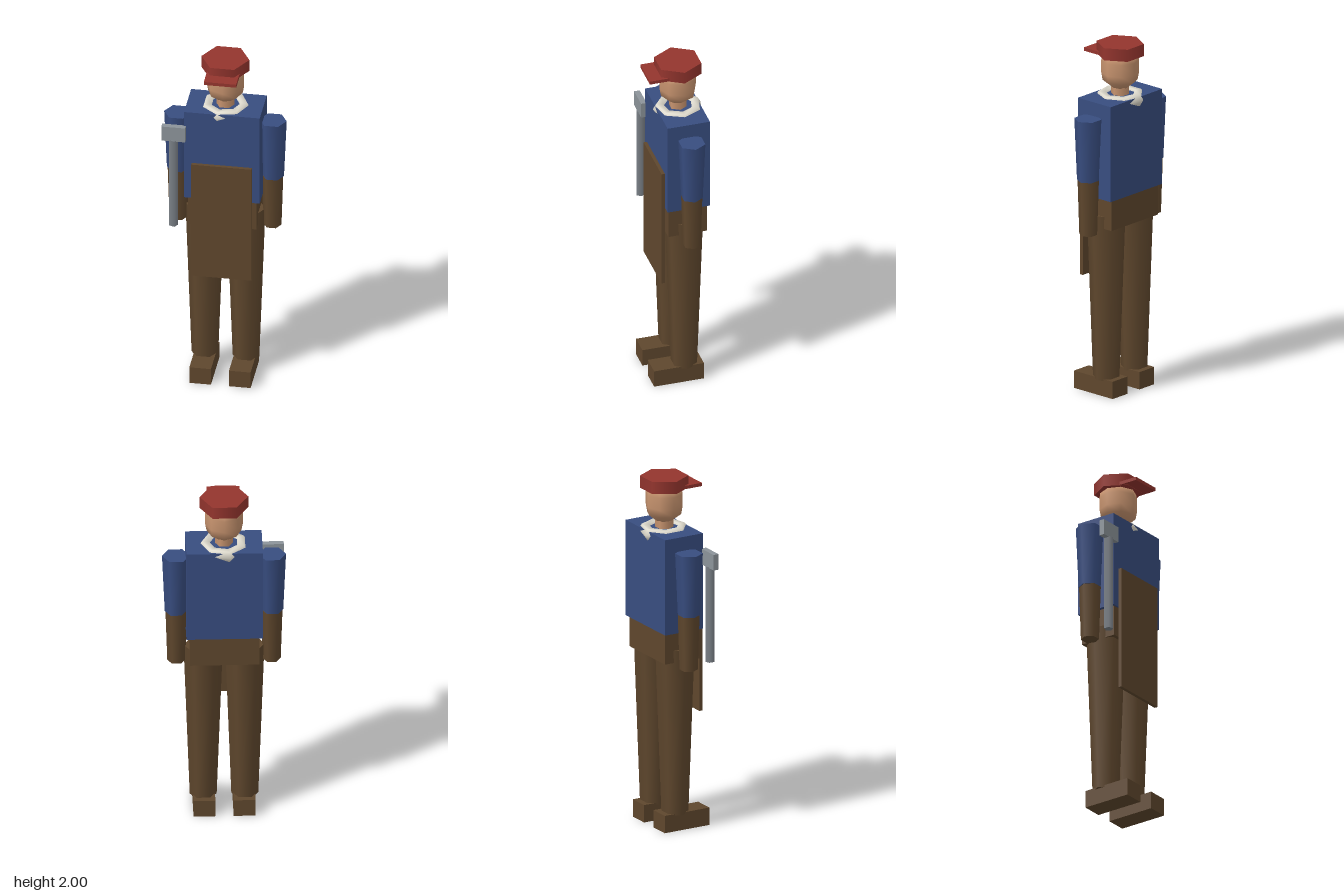
import * as THREE from 'three';

const material = (name, color) => {
  const m = new THREE.MeshStandardMaterial({ color });
  m.name = name;
  return m;
};

export function createModel() {
  const group = new THREE.Group();
  const blue = material('blue cloth', 0x384d80);
  const brown = material('brown leather', 0x5f472d);
  const red = material('red cap cloth', 0x94352e);
  const skin = material('skin', 0xc8946f);
  const white = material('white scarf', 0xdedacd);
  const steel = material('grey steel', 0x8c949a);
  const shaft = material('dark grey shaft', 0x7c8289);
  const Z = -0.022; // depth of the body axis

  const add = (name, geometry, mat, x = 0, y = 0, z = 0) => {
    const mesh = new THREE.Mesh(geometry, mat);
    mesh.name = name;
    mesh.position.set(x, y, z);
    group.add(mesh);
    return mesh;
  };

  // box given by its limits on each axis
  const box = (name, mat, [x0, x1], [y0, y1], [z0, z1]) =>
    add(name, new THREE.BoxGeometry(x1 - x0, y1 - y0, z1 - z0), mat,
      (x0 + x1) / 2, (y0 + y1) / 2, (z0 + z1) / 2);

  // upright tapered prism with a corner pointing to +x
  const prism = (name, mat, x, z, y0, y1, r0, r1, sides = 6) =>
    add(name, new THREE.CylinderGeometry(r1, r0, y1 - y0, sides, 1, false, Math.PI / 2),
      mat, x, (y0 + y1) / 2, z);

  // body
  box('torso', blue, [-0.21, 0.21], [1.155, 1.705], [-0.142, 0.1]);
  box('hips', brown, [-0.19, 0.19], [0.98, 1.156], [-0.13, 0.09]);
  box('apron', brown, [-0.167, 0.167], [0.667, 1.383], [0.103, 0.122]);

  // limbs, mirrored
  for (const [side, s] of [['left', 1], ['right', -1]]) {
    prism(side + 'Leg', brown, s * 0.114, Z, 0.09, 1.05, 0.074, 0.108);
    const [a, b] = [s * 0.05, s * 0.17].sort((p, q) => p - q);
    box(side + 'Shoe', brown, [a, b], [0, 0.1], [-0.12, 0.165]);
    prism(side + 'Sleeve', blue, s * 0.264, Z, 1.27, 1.625, 0.061, 0.076);
    prism(side + 'Glove', brown, s * 0.261, Z, 0.955, 1.272, 0.05, 0.06);
  }

  // neck and head
  prism('neck', skin, 0, Z, 1.68, 1.77, 0.05, 0.05);
  const profile = [[0, 1.742], [0.045, 1.745], [0.096, 1.785], [0.104, 1.83], [0.104, 1.9], [0.098, 1.945], [0, 1.96]];
  add('head', new THREE.LatheGeometry(profile.map(([r, y]) => new THREE.Vector2(r, y)), 8),
    skin, 0, 0, Z);

  // scarf ring around the neck
  add('scarf', new THREE.TorusGeometry(0.104, 0.036, 6, 7).rotateX(Math.PI / 2), white, 0, 1.685, -0.025);

  // cap with visor
  prism('capCrown', red, 0, Z, 1.93, 2, 0.133, 0.133);
  box('capVisor', red, [-0.09, 0.09], [1.932, 1.951], [0.03, 0.165]);

  // hammer on the right side
  box('hammerHead', steel, [-0.332, -0.2], [1.525, 1.615], [0.094, 0.126]);
  prism('hammerHandle', shaft, -0.267, 0.11, 0.98, 1.53, 0.026, 0.026, 5);

  return group;
}
